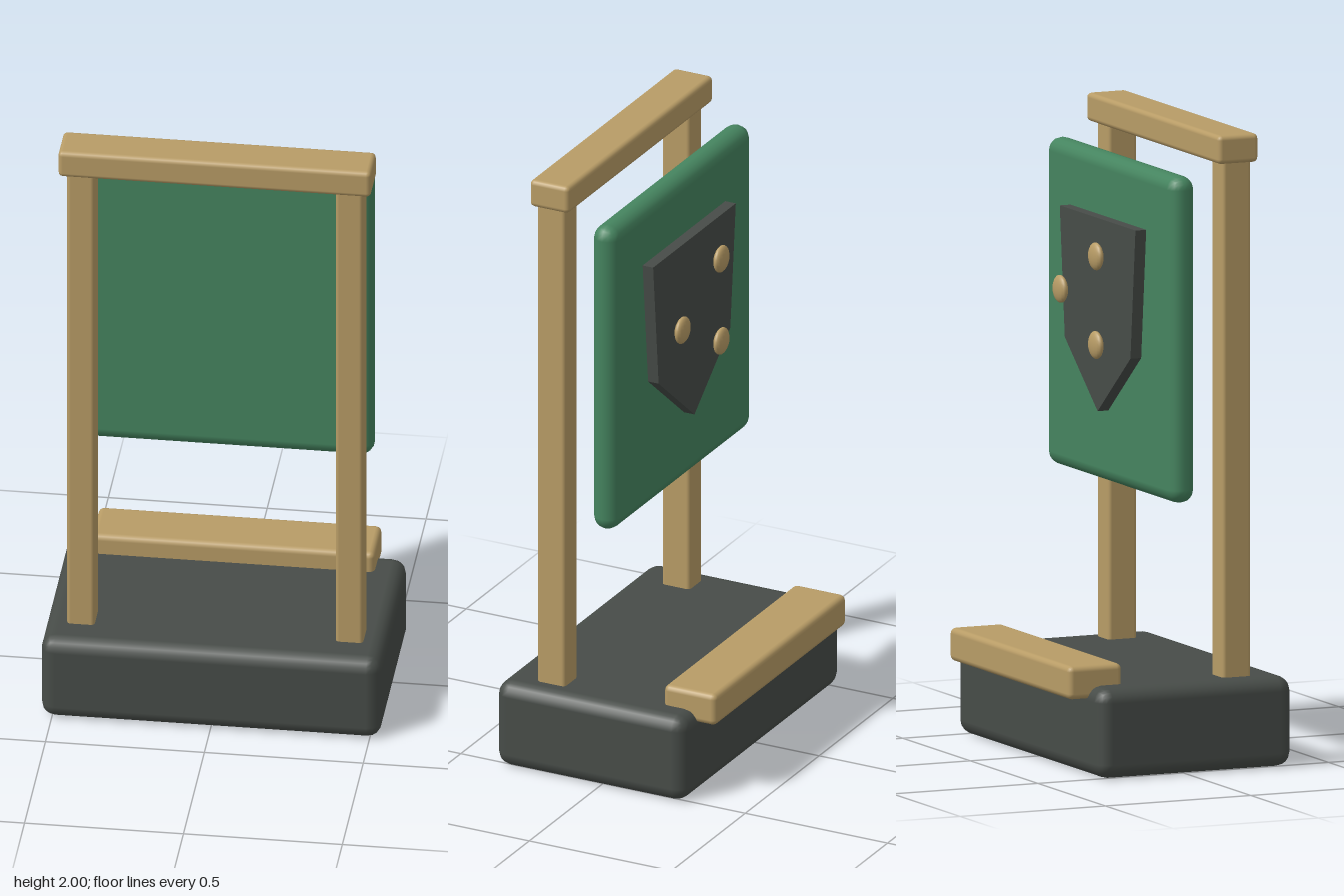
import * as THREE from 'three';
import { RoundedBoxGeometry } from 'three/addons/geometries/RoundedBoxGeometry.js';

const material = (name, color) => {
  const m = new THREE.MeshStandardMaterial({ color });
  m.name = name;
  return m;
};

export function createModel() {
  const wood = material('wood', 0xb89c66);
  const green = material('green', 0x45845f);
  const charcoal = material('charcoal', 0x474c48);
  const group = new THREE.Group();

  const add = (name, geometry, mat, x, y, z) => {
    const mesh = new THREE.Mesh(geometry, mat);
    mesh.name = name;
    mesh.position.set(x, y, z);
    group.add(mesh);
    return mesh;
  };

  // Rounded block given by its limits on each axis
  const block = (name, mat, [x0, x1], [y0, y1], [z0, z1], radius, segments = 2) =>
    add(name, new RoundedBoxGeometry(x1 - x0, y1 - y0, z1 - z0, segments, radius), mat,
      (x0 + x1) / 2, (y0 + y1) / 2, (z0 + z1) / 2);

  // Base and the step at its back edge
  block('base', charcoal, [-0.535, 0.535], [0, 0.285], [-0.302, 0.365], 0.045);
  block('backStep', wood, [-0.445, 0.445], [0.245, 0.35], [-0.367, -0.183], 0.018);

  // Frame: two posts and a top beam
  for (const side of [-1, 1]) {
    block(side > 0 ? 'leftPost' : 'rightPost', wood,
      [side * 0.4225 - 0.0435, side * 0.4225 + 0.0435], [0.26, 1.92], [0.152, 0.25], 0.012);
  }
  block('topBeam', wood, [-0.492, 0.492], [1.91, 2], [0.126, 0.264], 0.015);

  // Board
  block('board', green, [-0.474, 0.474], [0.842, 1.875], [-0.025, 0.062], 0.043);

  // Shield plate on the back of the board
  const shield = new THREE.Shape([
    [-0.28, 1.685], [-0.243, 1.275], [0, 1.075], [0.243, 1.275], [0.28, 1.685],
  ].map(([x, y]) => new THREE.Vector2(x, y)));
  add('shield', new THREE.ExtrudeGeometry(shield, { depth: 0.04, bevelEnabled: false }),
    charcoal, 0, 0, -0.062);

  // Flattened studs floating behind the shield
  const stud = new THREE.SphereGeometry(0.044, 16, 12);
  for (const [x, y] of [[-0.09, 1.58], [0.173, 1.44], [-0.09, 1.3]]) {
    add('stud', stud, wood, x, y, -0.11).scale.z = 0.4;
  }
  return group;
}
